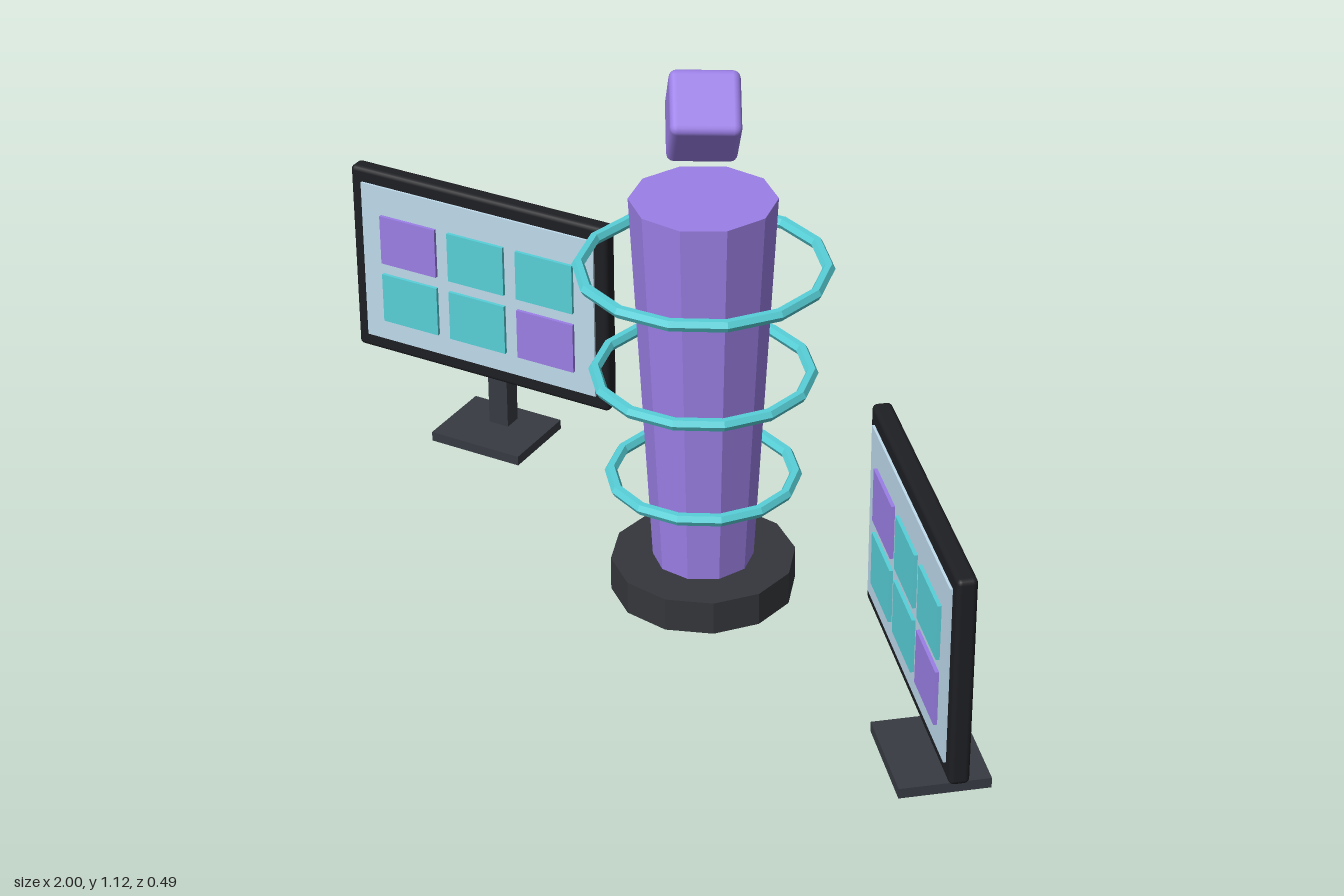
import * as THREE from 'three';
import { RoundedBoxGeometry } from 'three/addons/geometries/RoundedBoxGeometry.js';

const material = (color, flatShading = true) => new THREE.MeshStandardMaterial({ color, flatShading });
const purple = material(0x9b7fe6);
const purpleSmooth = material(0x9b7fe6, false);
const teal = material(0x58d0d8);
const frameDark = material(0x1e1f23, false);
const standGrey = material(0x373b42);
const baseGrey = material(0x34363b);
const screenBlue = material(0xbfdbec);

function add(parent, name, geometry, mat, x = 0, y = 0, z = 0) {
  const mesh = new THREE.Mesh(geometry, mat);
  mesh.name = name;
  mesh.position.set(x, y, z);
  parent.add(mesh);
  return mesh;
}

// Display on a stand; local +z is the screen side
function createMonitor(name) {
  const monitor = new THREE.Group();
  monitor.name = name;
  add(monitor, 'foot', new THREE.BoxGeometry(0.214, 0.021, 0.175), standGrey, 0, 0.0105, -0.032);
  add(monitor, 'pole', new THREE.BoxGeometry(0.046, 0.202, 0.04), standGrey, 0, 0.121, -0.061);
  add(monitor, 'panel', new RoundedBoxGeometry(0.616, 0.425, 0.038, 2, 0.01), frameDark, 0, 0.378, 0);
  add(monitor, 'screen', new THREE.BoxGeometry(0.56, 0.36, 0.008), screenBlue, 0, 0.379, 0.02);

  // Two rows of three tiles, with purple at opposite corners
  for (let row = 0; row < 2; row++) {
    for (let col = 0; col < 3; col++) {
      const isPurple = (row === 0 && col === 0) || (row === 1 && col === 2);
      add(monitor, 'tile', new THREE.BoxGeometry(0.135, 0.111, 0.01),
        isPurple ? purple : teal, (col - 1) * 0.165, 0.439 - row * 0.137, 0.026);
    }
  }
  return monitor;
}

export function createModel() {
  const model = new THREE.Group();

  // Central tower
  add(model, 'base', new THREE.CylinderGeometry(0.184, 0.184, 0.07, 12), baseGrey, 0, 0.035, 0);
  add(model, 'column', new THREE.CylinderGeometry(0.142, 0.1, 0.787, 10), purple, 0, 0.4635, 0);

  // Rings widening towards the top
  for (let i = 0; i < 3; i++) {
    const ring = add(model, 'ring', new THREE.TorusGeometry(0.181 + i * 0.0285, 0.0125, 6, 14),
      teal, 0, 0.258 + i * 0.2275, 0);
    ring.rotation.x = Math.PI / 2;
  }

  // Tilted cube hovering above the column
  const cube = add(model, 'floatingCube', new RoundedBoxGeometry(0.134, 0.134, 0.134, 2, 0.015),
    purpleSmooth, 0, 1.028, 0);
  cube.rotation.set(-0.05, -0.57, -0.7);

  // Monitors on both sides, turned inwards
  for (const side of [-1, 1]) {
    const monitor = createModelSide(side);
    model.add(monitor);
  }
  return model;
}

function createModelSide(side) {
  const monitor = createMonitor(side > 0 ? 'leftMonitor' : 'rightMonitor');
  monitor.position.set(side * 0.714, 0, 0.043);
  monitor.rotation.y = -side * 0.436;
  return monitor;
}
